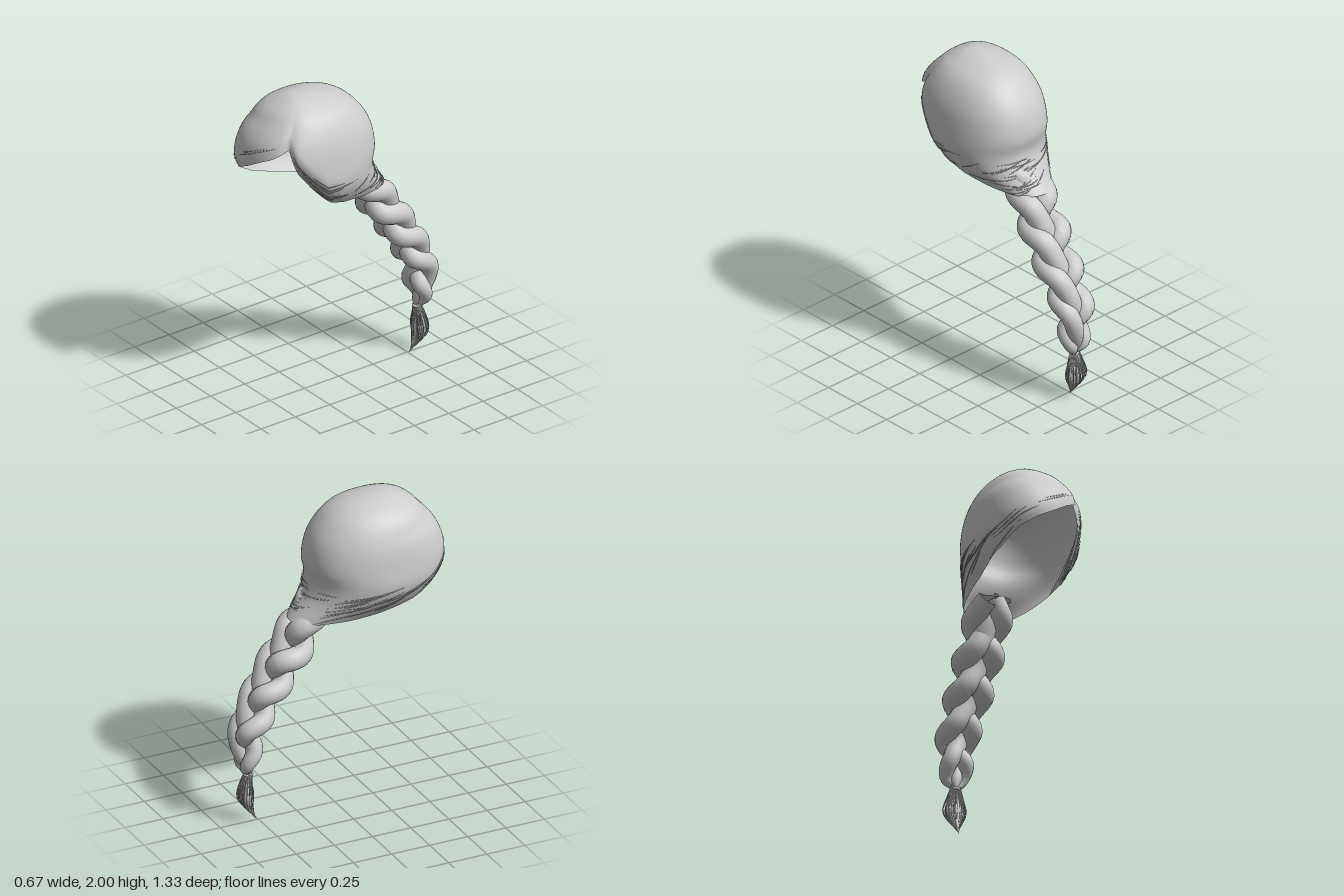
import * as THREE from 'three';
import { mergeGeometries } from 'three/addons/utils/BufferGeometryUtils.js';

const V = (x, y, z) => new THREE.Vector3(x, y, z);
const X = V(1, 0, 0), Y = V(0, 1, 0);

// Seeded random numbers
let seed = 7;
const rnd = (a = 0, b = 1) => {
  seed = (seed * 16807) % 2147483647;
  return a + (b - a) * seed / 2147483647;
};

// Table lookup, linear or smooth
function look(keys, vals, k, smooth) {
  let i = 0;
  while (i < keys.length - 2 && k > keys[i + 1]) i++;
  const h = keys[i + 1] - keys[i];
  const t = Math.min(1, Math.max(0, (k - keys[i]) / h));
  if (!smooth) return vals[i] + (vals[i + 1] - vals[i]) * t;
  const slope = (n) => {
    const a = Math.max(0, n - 1), b = Math.min(keys.length - 1, n + 1);
    return (vals[b] - vals[a]) / (keys[b] - keys[a]);
  };
  const t2 = t * t, t3 = t2 * t;
  return (2 * t3 - 3 * t2 + 1) * vals[i] + (t3 - 2 * t2 + t) * h * slope(i)
    + (3 * t2 - 2 * t3) * vals[i + 1] + (t3 - t2) * h * slope(i + 1);
}

// Closed rings of points joined into a smooth skin
function skin(cols, rows, point) {
  const pos = [], index = [];
  for (let j = 0; j <= rows; j++)
    for (let i = 0; i < cols; i++) pos.push(...point(i / cols, j / rows).toArray());
  for (let j = 0; j < rows; j++)
    for (let i = 0; i < cols; i++) {
      const n = (i + 1) % cols, a = j * cols + i, b = j * cols + n;
      index.push(a, b, a + cols, b, b + cols, a + cols);
    }
  const g = new THREE.BufferGeometry();
  g.setAttribute('position', new THREE.Float32BufferAttribute(pos, 3));
  g.setIndex(index);
  g.computeVertexNormals();
  return g;
}

// Sweep an ellipse with changing radius along a path
function sweep(path, rows, cols, radius, flat = 1, ref = X) {
  return skin(cols, rows, (u, v) => {
    const c = path(v);
    const T = path(Math.min(1, v + 0.01)).sub(path(Math.max(0, v - 0.01))).normalize();
    const S = ref.clone().addScaledVector(T, -T.dot(ref)).normalize();
    const N = T.clone().cross(S);
    const a = u * Math.PI * 2, r = radius(v);
    return c.addScaledVector(S, Math.cos(a) * r).addScaledVector(N, Math.sin(a) * r * flat);
  });
}

// Cap sections, keyed by the root of the depth below the crown
const Q = [0, 0.17, 0.27, 0.37, 0.5, 0.63, 0.71, 0.775, 0.82, 0.86];
const WIDTH = [0, 0.12, 0.2, 0.255, 0.305, 0.33, 0.335, 0.305, 0.255, 0.205];
const FRONT = [0.32, 0.42, 0.49, 0.555, 0.635, 0.67, 0.63, 0.55, 0.5, 0.45];
const BACK = [0.32, 0.1, 0, -0.075, -0.15, -0.18, -0.16, -0.19, -0.245, -0.3];
const MID = [0.32, 0.28, 0.26, 0.25, 0.25, 0.25, 0.25, 0.22, 0.17, 0.12];
// Height of the hairline around the head: 0 = left side, 90 = front, 270 = back
const ANGLE = [0, 10, 25, 35, 46, 60, 75, 90, 110, 125, 140, 160, 175, 200, 230, 270, 310, 330, 360];
const EDGE = [1.32, 1.33, 1.48, 1.6, 1.76, 1.71, 1.67, 1.62, 1.56, 1.5, 1.41, 1.35, 1.32, 1.29, 1.27, 1.265, 1.27, 1.285, 1.32];

function capPoint(deg, v, lift = 1) {
  const d = ((deg % 360) + 360) % 360, a = d * Math.PI / 180;
  const q = v * Math.sqrt(2 - look(ANGLE, EDGE, d));
  const w = look(Q, WIDTH, q, true), mid = look(Q, MID, q, true);
  const c = Math.cos(a), s = Math.sin(a);
  const depth = s > 0 ? look(Q, FRONT, q, true) - mid : mid - look(Q, BACK, q, true);
  // fuller sweep of the fringe and of the back on the left
  const full = c > 0 ? 0.05 : (s > 0 ? 0.08 : 0.01);
  let r = lift * (1 + full * Math.pow(Math.sin(2 * a), 2));
  // parting beside the fringe
  r *= 1 - 0.055 * Math.exp(-(((d - 45) / 6) ** 2)) * Math.min(1, v * v * v);
  // soft crease above the fringe
  if (d > 30 && d < 200) {
    const line = 0.3 + 0.15 * (d - 45) / 135;
    r *= 1 - 0.02 * Math.sin((d - 30) / 170 * Math.PI) * Math.exp(-(((q - line) / 0.04) ** 2));
  }
  // hairline curls inwards, most of all on the left temple
  const curl = (s > 0 ? 0.03 : 0.03 * (1 + s)) + 0.19 * Math.exp(-(((d - 22) / 16) ** 2));
  r *= 1 - curl * Math.pow(Math.max(0, (v - 0.8) / 0.2), 1.6);
  return V(w * c * r, 2 - q * q, mid + depth * s * r);
}

export function createModel() {
  const model = new THREE.Group();
  const hair = new THREE.MeshStandardMaterial({ color: 0xcccccc, side: THREE.DoubleSide });
  hair.name = 'hair grey';
  const add = (name, geometry) => {
    const mesh = new THREE.Mesh(geometry, hair);
    mesh.name = name;
    model.add(mesh);
  };

  // Hair cap, open below
  add('hairCap', skin(180, 36, (u, v) => capPoint(u * 360, v)));

  // Fine strands lying along the hairline: fringe, left side, nape
  const strands = [];
  for (const [from, to, count] of [[56, 235, 24], [-95, 40, 18], [225, 310, 14]])
    for (let k = 0; k < count; k++) {
      const a = rnd(from, to - 20), b = Math.min(to, a + rnd(20, 60));
      const v0 = rnd(0.85, 0.97), v1 = Math.min(1, v0 + rnd(0, 0.07));
      const path = (t) => capPoint(a + (b - a) * t, v0 + (v1 - v0) * t, 1.004 + 0.012 * t);
      strands.push(sweep(path, 12, 3, (t) => 0.003 * Math.sin(Math.PI * (0.05 + 0.93 * t)), 1, Y));
    }
  add('hairlineStrands', mergeGeometries(strands));

  // Braid: three locks crossing in a figure of eight along a curved spine
  const spine = new THREE.CatmullRomCurve3([
    V(0.02, 1.35, -0.105), V(0.015, 1.25, -0.175), V(0.02, 1.1, -0.27), V(0.025, 0.95, -0.37),
    V(0.025, 0.8, -0.46), V(0.02, 0.65, -0.54), V(0.02, 0.5, -0.575), V(0.015, 0.31, -0.56),
  ]);
  const size = (u) => look([0, 0.2, 0.6, 0.82, 0.94, 1], [0.95, 1.08, 1, 0.85, 0.62, 0.22], u, true);
  const lock = (phase, grow = 1) => (u) => {
    const T = spine.getTangentAt(u);
    const N = T.clone().cross(X).normalize();
    const turn = phase + u * Math.PI * 2 * 1.7;
    // the right-hand bends trail the left-hand ones
    const trail = 0.25 - 0.6 * (1 - Math.sin(turn));
    const a = turn + trail * Math.min(1, u / 0.2), s = size(u) * grow;
    const p = spine.getPointAt(u).addScaledVector(N, 0.043 * s * Math.sin(2 * a));
    p.x += 0.08 * s * Math.sin(a);
    return p;
  };
  for (let k = 0; k < 3; k++) {
    const path = lock(k * Math.PI * 2 / 3);
    add('braidLock' + (k + 1), sweep(path, 90, 16, (u) => 0.064 * size(u)));
    // flat closed top of the lock
    const top = path(0);
    add('lockTop' + (k + 1), sweep((t) => top.clone().addScaledVector(Y, 0.012 * (1 - t)), 4, 16,
      (t) => 0.055 * Math.sqrt(t)));
  }

  // Loose hairs around the braid
  const loose = [];
  for (let k = 0; k < 14; k++) {
    const path = lock((k % 3) * Math.PI * 2 / 3, rnd(1.6, 1.8));
    const a = rnd(0.08, 0.7), len = rnd(0.05, 0.12);
    loose.push(sweep((t) => path(a + len * t), 10, 3, (t) => 0.0025 * (1 - 0.9 * t)));
  }
  add('looseHairs', mergeGeometries(loose));

  // Tie below the braid
  const tie = new THREE.TorusGeometry(0.022, 0.009, 8, 20);
  tie.rotateX(Math.PI / 2).translate(0.015, 0.305, -0.56);
  add('braidTie', tie);

  // Tuft at the end: tapering core wrapped in separate hairs
  const tuft = new THREE.CatmullRomCurve3([
    V(0.015, 0.32, -0.56), V(0.017, 0.22, -0.575), V(0.015, 0.13, -0.575), V(0.01, 0.05, -0.54), V(0.008, 0, -0.51),
  ]);
  const swell = (t) => look([0, 0.15, 0.4, 0.6, 0.8, 1], [0.022, 0.04, 0.063, 0.04, 0.013, 0.001], t, true);
  add('tuft', sweep((t) => tuft.getPoint(t), 24, 14, swell, 0.55));
  const hairs = [];
  for (let k = 0; k < 32; k++) {
    const a = k * 2.4, spread = rnd(0.95, 1.25), end = rnd(0.6, 0.95);
    const path = (t) => {
      const p = tuft.getPoint(t * end), r = swell(t * end) * spread;
      return p.add(V(Math.cos(a) * r, 0, Math.sin(a) * r * 0.6));
    };
    hairs.push(sweep(path, 12, 3, (t) => 0.005 * (1 - 0.9 * t)));
  }
  add('tuftHairs', mergeGeometries(hairs));

  return model;
}
